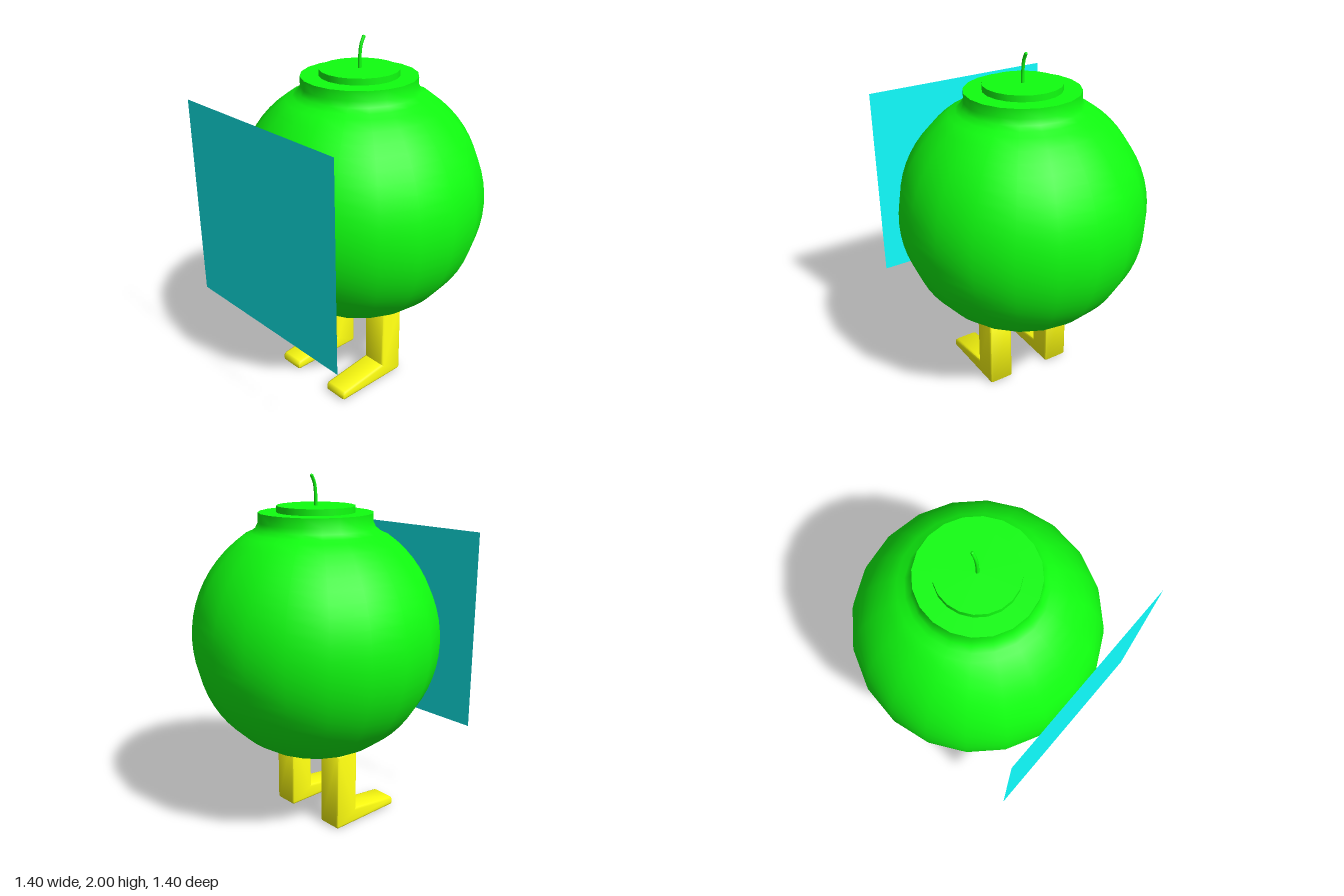
import * as THREE from 'three';
import { toCreasedNormals } from 'three/addons/utils/BufferGeometryUtils.js';

const paint = (color, side = THREE.FrontSide) => new THREE.MeshStandardMaterial({ color, side });
const green = paint(0x10ff10);
const yellow = paint(0xffff10);
const cyan = paint(0x10ffff, THREE.DoubleSide);

const SIDES = 20;
const RADIUS = 0.7;
const CENTRE_Y = 1.1;

function addMesh(parent, name, geometry, material) {
  const mesh = new THREE.Mesh(geometry, material);
  mesh.name = name;
  parent.add(mesh);
  return mesh;
}

// Round body, flowing into a short neck with a flat top
function bodyGeometry() {
  const points = [];
  const steps = 26;
  const end = Math.PI - Math.asin(0.4 / RADIUS);
  for (let i = 0; i <= steps; i++) {
    const a = (i / steps) * end;
    points.push(new THREE.Vector2(RADIUS * Math.sin(a), CENTRE_Y - RADIUS * Math.cos(a)));
  }
  points.push(
    new THREE.Vector2(0.36, 1.692),
    new THREE.Vector2(0.332, 1.715),
    new THREE.Vector2(0.317, 1.745),
    new THREE.Vector2(0.317, 1.797),
    new THREE.Vector2(0, 1.797)
  );
  return toCreasedNormals(new THREE.LatheGeometry(points, SIDES), 0.7);
}

// Side outline of a leg with its foot, extruded across its width
function legGeometry() {
  const outline = [
    [-0.065, 0], [0.38, 0.005], [0.39, 0.015], [0.39, 0.042], [0.375, 0.058],
    [0.075, 0.092], [0.075, 0.45], [0.065, 0.46], [-0.065, 0.46], [-0.075, 0.45], [-0.075, 0.01]
  ];
  const shape = new THREE.Shape(outline.map(([z, y]) => new THREE.Vector2(z, y)));
  const geometry = new THREE.ExtrudeGeometry(shape, {
    depth: 0.12, bevelThickness: 0.015, bevelSize: 0.015, bevelOffset: -0.015, bevelSegments: 2
  });
  geometry.translate(0, 0, -0.06).rotateY(-Math.PI / 2);
  return toCreasedNormals(geometry, 0.9);
}

export function createModel() {
  const model = new THREE.Group();
  model.name = 'walkingBall';

  addMesh(model, 'body', bodyGeometry(), green);

  // Raised disc on the neck
  const cap = addMesh(model, 'cap', new THREE.CylinderGeometry(0.217, 0.217, 0.05, SIDES), green);
  cap.position.y = 1.807;

  // Thin fuse bending backwards
  const path = new THREE.CatmullRomCurve3([
    new THREE.Vector3(0, 1.82, 0),
    new THREE.Vector3(0, 1.9, -0.003),
    new THREE.Vector3(0, 1.955, -0.012),
    new THREE.Vector3(0, 1.995, -0.032)
  ]);
  addMesh(model, 'fuse', new THREE.TubeGeometry(path, 12, 0.009, 8), green);
  const tip = addMesh(model, 'fuseTip', new THREE.SphereGeometry(0.009, 8, 6), green);
  tip.position.set(0, 1.991, -0.031);

  // Flat square panel touching the front
  const panel = addMesh(model, 'frontPanel', new THREE.PlaneGeometry(1.15, 1.15), cyan);
  panel.position.set(0, 1.105, 0.702);

  // Pair of legs
  const leg = legGeometry();
  for (const [name, x] of [['leftLeg', 0.2], ['rightLeg', -0.2]]) {
    addMesh(model, name, leg, yellow).position.x = x;
  }
  return model;
}
